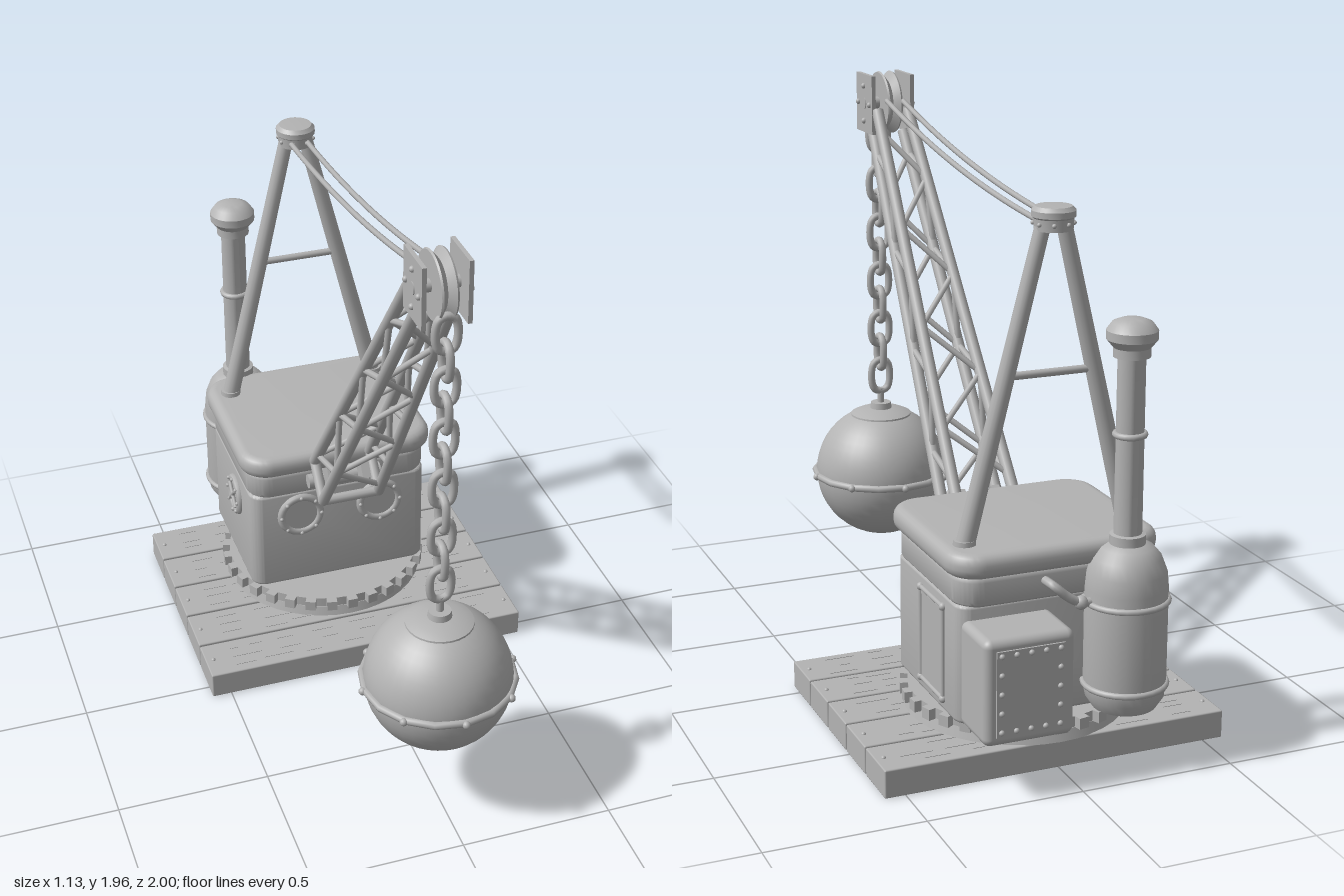
import * as THREE from 'three';
import { toCreasedNormals } from 'three/addons/utils/BufferGeometryUtils.js';
import { RoundedBoxGeometry } from 'three/addons/geometries/RoundedBoxGeometry.js';

const grey = new THREE.MeshStandardMaterial({ color: 0xb3b3b3 });
grey.name = 'plain grey';
const V = (x, y, z) => new THREE.Vector3(x, y, z);

function add(parent, name, geo, x = 0, y = 0, z = 0) {
  const m = new THREE.Mesh(geo, grey);
  m.name = name;
  m.position.set(x, y, z);
  parent.add(m);
  return m;
}
function group(parent, name, x = 0, y = 0, z = 0) {
  const g = new THREE.Group();
  g.name = name;
  g.position.set(x, y, z);
  parent.add(g);
  return g;
}
// straight round bar between two points
function rod(parent, name, a, b, r0, r1 = r0, sides = 10) {
  const m = add(parent, name, new THREE.CylinderGeometry(r1, r0, a.distanceTo(b), sides));
  m.position.copy(a).lerp(b, 0.5);
  m.quaternion.setFromUnitVectors(V(0, 1, 0), b.clone().sub(a).normalize());
  return m;
}
const ball = (parent, name, r, x, y, z) => add(parent, name, new THREE.SphereGeometry(r, 10, 8), x, y, z);
const lathe = (pts, n = 28) =>
  toCreasedNormals(new THREE.LatheGeometry(pts.map(p => new THREE.Vector2(...p)), n), 0.6);

// block with rounded plan corners and bevelled edges, standing on y = 0
function slab(w, h, d, r, b) {
  const x = w / 2 - b, y = d / 2 - b, c = r - b, s = new THREE.Shape();
  s.absarc(x - c, y - c, c, 0, Math.PI / 2);
  s.absarc(-x + c, y - c, c, Math.PI / 2, Math.PI);
  s.absarc(-x + c, -y + c, c, Math.PI, Math.PI * 1.5);
  s.absarc(x - c, -y + c, c, Math.PI * 1.5, Math.PI * 2);
  const g = new THREE.ExtrudeGeometry(s, {
    depth: h - 2 * b, bevelSize: b, bevelThickness: b, bevelSegments: 4, curveSegments: 8 });
  g.rotateX(-Math.PI / 2).translate(0, b, 0);
  return toCreasedNormals(g, 0.6);
}

function buildPlatform(root) {
  const g = group(root, 'plankPlatform');
  let seed = 7;
  const rand = () => (seed = (seed * 16807) % 2147483647) / 2147483647;
  for (let i = 0; i < 5; i++) {
    const z = -0.03 - i * 0.1778;
    add(g, 'plank', new RoundedBoxGeometry(1.134, 0.092, 0.17, 1, 0.005), 0, 0.046, z);
    // grain dashes
    for (const row of [-0.05, 0, 0.05]) {
      for (let x = -0.47; x < 0.42;) {
        const len = 0.03 + rand() * 0.08;
        add(g, 'woodGrain', new THREE.BoxGeometry(len, 0.003, 0.005), x + len / 2, 0.092, z + row + (rand() - 0.5) * 0.02);
        x += len + 0.02 + rand() * 0.07;
      }
    }
    for (const s of [-1, 1]) ball(g, 'nail', 0.008, s * 0.54, 0.091, z);
  }
}

function buildTurntable(root) {
  const g = group(root, 'turntable', 0, 0, -0.485);
  add(g, 'baseRing', new THREE.CylinderGeometry(0.345, 0.355, 0.035, 40), 0, 0.108, 0);
  add(g, 'gearDisc', new THREE.CylinderGeometry(0.343, 0.343, 0.036, 40), 0, 0.142, 0);
  add(g, 'hub', new THREE.CylinderGeometry(0.115, 0.115, 0.05, 24), 0, 0.17, 0);
  for (let i = 0; i < 30; i++) {
    const a = i / 30 * Math.PI * 2;
    add(g, 'gearTooth', new THREE.BoxGeometry(0.036, 0.036, 0.04), Math.sin(a) * 0.347, 0.142, Math.cos(a) * 0.347).rotation.y = a;
  }
}

// round window facing +z
function porthole(parent, r, x, y, z, turn = 0) {
  const g = group(parent, 'porthole', x, y, z);
  g.rotation.y = turn;
  add(g, 'windowRim', new THREE.TorusGeometry(r - 0.014, 0.014, 8, 28));
  add(g, 'windowGlass', new THREE.CylinderGeometry(r - 0.015, r - 0.015, 0.008, 24)).rotation.x = Math.PI / 2;
  for (let i = 0; i < 8; i++) {
    const a = i * Math.PI / 4;
    ball(g, 'windowBolt', 0.007, Math.cos(a) * (r - 0.012), Math.sin(a) * (r - 0.012), 0.013);
  }
  return g;
}

function buildCab(root) {
  const g = group(root, 'cab');
  add(g, 'cabBody', slab(0.64, 0.38, 0.535, 0.05, 0.012), 0, 0.18, -0.535);
  add(g, 'upperBand', slab(0.645, 0.1, 0.555, 0.08, 0.02), 0, 0.553, -0.538);
  add(g, 'roof', slab(0.69, 0.078, 0.605, 0.1, 0.032), 0, 0.647, -0.538);
  for (const s of [-1, 1]) porthole(g, 0.085, s * 0.145, 0.465, -0.265);
  // side window with crossed handle
  const side = porthole(g, 0.075, -0.323, 0.45, -0.48, -Math.PI / 2);
  for (const a of [1, -1]) rod(side, 'windowCross', V(-0.035, -0.035 * a, 0.012), V(0.035, 0.035 * a, 0.012), 0.007);
  // door frame
  const c = [V(0.322, 0.22, -0.492), V(0.322, 0.52, -0.492), V(0.322, 0.52, -0.676), V(0.322, 0.22, -0.676)];
  c.forEach((p, i) => {
    rod(g, 'doorFrame', p, c[(i + 1) % 4], 0.008);
    ball(g, 'doorCorner', 0.013, p.x, p.y, p.z);
  });
  add(g, 'doorPanel', new THREE.BoxGeometry(0.008, 0.28, 0.164), 0.32, 0.37, -0.584);
  // rear machinery box with bolted plate
  add(g, 'rearBox', new RoundedBoxGeometry(0.29, 0.335, 0.2, 4, 0.025), 0.165, 0.348, -0.877);
  add(g, 'rearPlate', new THREE.BoxGeometry(0.22, 0.27, 0.01), 0.165, 0.348, -0.978);
  for (let i = 0; i < 5; i++) for (let j = 0; j < 5; j++) {
    if (i % 4 && j % 4) continue;
    ball(g, 'plateRivet', 0.009, 0.165 + (i - 2) * 0.047, 0.348 + (j - 2) * 0.06, -0.983);
  }
}

function buildBoiler(root) {
  const g = group(root, 'boiler', -0.2, 0, -0.86);
  add(g, 'tank', lathe([[0, 0.175], [0.06, 0.178], [0.1, 0.195], [0.122, 0.23], [0.127, 0.27], [0.127, 0.58],
    [0.122, 0.63], [0.105, 0.675], [0.08, 0.705], [0.045, 0.72], [0, 0.723]]));
  for (const y of [0.27, 0.54]) add(g, 'tankBand', new THREE.TorusGeometry(0.127, 0.01, 8, 28), 0, y, 0).rotation.x = Math.PI / 2;
  add(g, 'chimney', lathe([[0.055, 0.71], [0.055, 0.745], [0.043, 0.748], [0.042, 1.29], [0.056, 1.292], [0.056, 1.32],
    [0.06, 1.325], [0.077, 1.345], [0.077, 1.372], [0.06, 1.395], [0.035, 1.405], [0, 1.406]]));
  add(g, 'chimneyRing', new THREE.TorusGeometry(0.044, 0.01, 8, 24), 0, 1.055, 0).rotation.x = Math.PI / 2;
  // steam pipe to the cab
  const pipe = new THREE.CatmullRomCurve3([V(0.1, 0.55, -0.01), V(0.155, 0.55, -0.01), V(0.2, 0.575, -0.01), V(0.24, 0.61, 0), V(0.25, 0.615, 0.06)]);
  add(g, 'steamPipe', new THREE.TubeGeometry(pipe, 20, 0.014, 8));
  ball(g, 'pipeJoint', 0.022, 0.155, 0.55, -0.01);
}

function buildMast(root) {
  const g = group(root, 'mast');
  for (const s of [-1, 1]) {
    rod(g, 'mastLeg', V(s * 0.268, 0.715, -0.715), V(s * 0.03, 1.69, -0.737), 0.03, 0.024, 14);
    add(g, 'legFoot', new THREE.CylinderGeometry(0.034, 0.036, 0.02, 14), s * 0.268, 0.73, -0.715);
  }
  rod(g, 'mastCrossbar', V(-0.14, 1.23, -0.727), V(0.14, 1.23, -0.727), 0.012);
  add(g, 'mastHead', lathe([[0, 1.66], [0.058, 1.66], [0.06, 1.695], [0.066, 1.7], [0.066, 1.718], [0.055, 1.73], [0, 1.733]], 24), 0, 0, -0.737);
  for (let i = 0; i < 8; i++) {
    const a = (i + 0.5) * Math.PI / 4;
    ball(g, 'headBolt', 0.007, Math.cos(a) * 0.06, 1.68, -0.737 + Math.sin(a) * 0.06);
  }
  // sagging stays
  for (const s of [-1, 1]) {
    const c = new THREE.QuadraticBezierCurve3(V(s * 0.028, 1.865, 0.57), V(s * 0.028, 1.71, -0.05), V(s * 0.028, 1.68, -0.69));
    add(g, 'stayCable', new THREE.TubeGeometry(c, 28, 0.009, 8));
  }
}

function buildBoom(root) {
  const g = group(root, 'boom');
  const lower = (s, t) => V(s * (0.1 - 0.045 * t), 0.595 + 1.155 * t, -0.14 + 0.775 * t);
  const upper = (s, t) => V(s * (0.1 - 0.045 * t), 0.7 + 1.13 * t, -0.235 + 0.825 * t);
  for (const s of [-1, 1]) {
    rod(g, 'lowerChord', lower(s, 0), lower(s, 1), 0.02);
    rod(g, 'upperChord', upper(s, 0), upper(s, 1), 0.02);
    rod(g, 'footPost', lower(s, 0), upper(s, 0), 0.018);
  }
  // lattice zigzags on all four faces
  const n = 7, at = i => 0.04 + i / n * 0.9;
  for (let i = 0; i < n; i++) {
    const a = at(i), b = at(i + 1), odd = i % 2, k = odd ? 1 : -1;
    for (const s of [-1, 1]) rod(g, 'sideBrace', (odd ? lower : upper)(s, a), (odd ? upper : lower)(s, b), 0.011, 0.011, 8);
    rod(g, 'topBrace', upper(k, a), upper(-k, b), 0.01, 0.01, 8);
    rod(g, 'bottomBrace', lower(-k, a), lower(k, b), 0.01, 0.01, 8);
  }
  // pivot at the cab front
  rod(g, 'pivotTube', V(-0.13, 0.628, -0.222), V(0.13, 0.628, -0.222), 0.025, 0.025, 14);
  rod(g, 'footBar', lower(-1, 0), lower(1, 0), 0.018);
  for (const s of [-1, 1]) add(g, 'pivotBracket', new THREE.BoxGeometry(0.03, 0.06, 0.1), s * 0.06, 0.65, -0.2).rotation.x = -0.6;
  // head plates and grooved wheel
  const head = group(g, 'boomHead', 0, 1.848, 0.663);
  for (const s of [-1, 1]) {
    add(head, 'headPlate', new THREE.BoxGeometry(0.014, 0.2, 0.155), s * 0.07, 0, 0);
    for (const [y, z] of [[0.06, 0], [-0.06, 0], [0, 0.055], [0, -0.055]]) ball(head, 'plateBolt', 0.01, s * 0.078, y, z);
  }
  add(head, 'sheaveWheel', lathe([[0, -0.026], [0.104, -0.026], [0.107, -0.02], [0.082, 0], [0.107, 0.02], [0.104, 0.026], [0, 0.026]], 32)).rotation.z = Math.PI / 2;
  rod(head, 'sheaveAxle', V(-0.08, 0, 0), V(0.08, 0, 0), 0.02, 0.02, 14);
}

function buildWreckingBall(root) {
  const g = group(root, 'wreckingBall', 0, 0, 0.74);
  // chain of alternating links
  const h = 0.058, w = 0.033;
  const loop = new THREE.CatmullRomCurve3([V(w, 0.025, 0), V(w * 0.7, 0.049, 0), V(0, h, 0), V(-w * 0.7, 0.049, 0), V(-w, 0.025, 0),
    V(-w, -0.025, 0), V(-w * 0.7, -0.049, 0), V(0, -h, 0), V(w * 0.7, -0.049, 0), V(w, -0.025, 0)], true);
  const link = new THREE.TubeGeometry(loop, 28, 0.0135, 8, true);
  for (let i = 0; i < 11; i++) add(g, 'chainLink', link, 0, 1.728 - i * 0.088, 0).rotation.y = i % 2 ? Math.PI / 2 : 0;
  rod(g, 'ballShank', V(0, 0.73, 0), V(0, 0.8, 0), 0.012);
  add(g, 'ballLug', new THREE.CylinderGeometry(0.036, 0.04, 0.03, 20), 0, 0.733, 0);
  add(g, 'ballCap', lathe([[0.11, 0.695], [0.108, 0.708], [0.08, 0.72], [0.03, 0.728], [0, 0.728]]));
  add(g, 'ballBody', new THREE.SphereGeometry(0.237, 36, 24), 0, 0.492, 0);
  add(g, 'ballBand', new THREE.TorusGeometry(0.241, 0.013, 8, 16), 0, 0.49, 0).rotation.x = Math.PI / 2;
  for (let i = 0; i < 8; i++) {
    const a = i * Math.PI / 4;
    ball(g, 'bandRivet', 0.013, Math.cos(a) * 0.25, 0.49, Math.sin(a) * 0.25);
  }
}

export function createModel() {
  const root = new THREE.Group();
  root.name = 'wreckingCrane';
  [buildPlatform, buildTurntable, buildCab, buildBoiler, buildMast, buildBoom, buildWreckingBall].forEach(f => f(root));
  return root;
}
